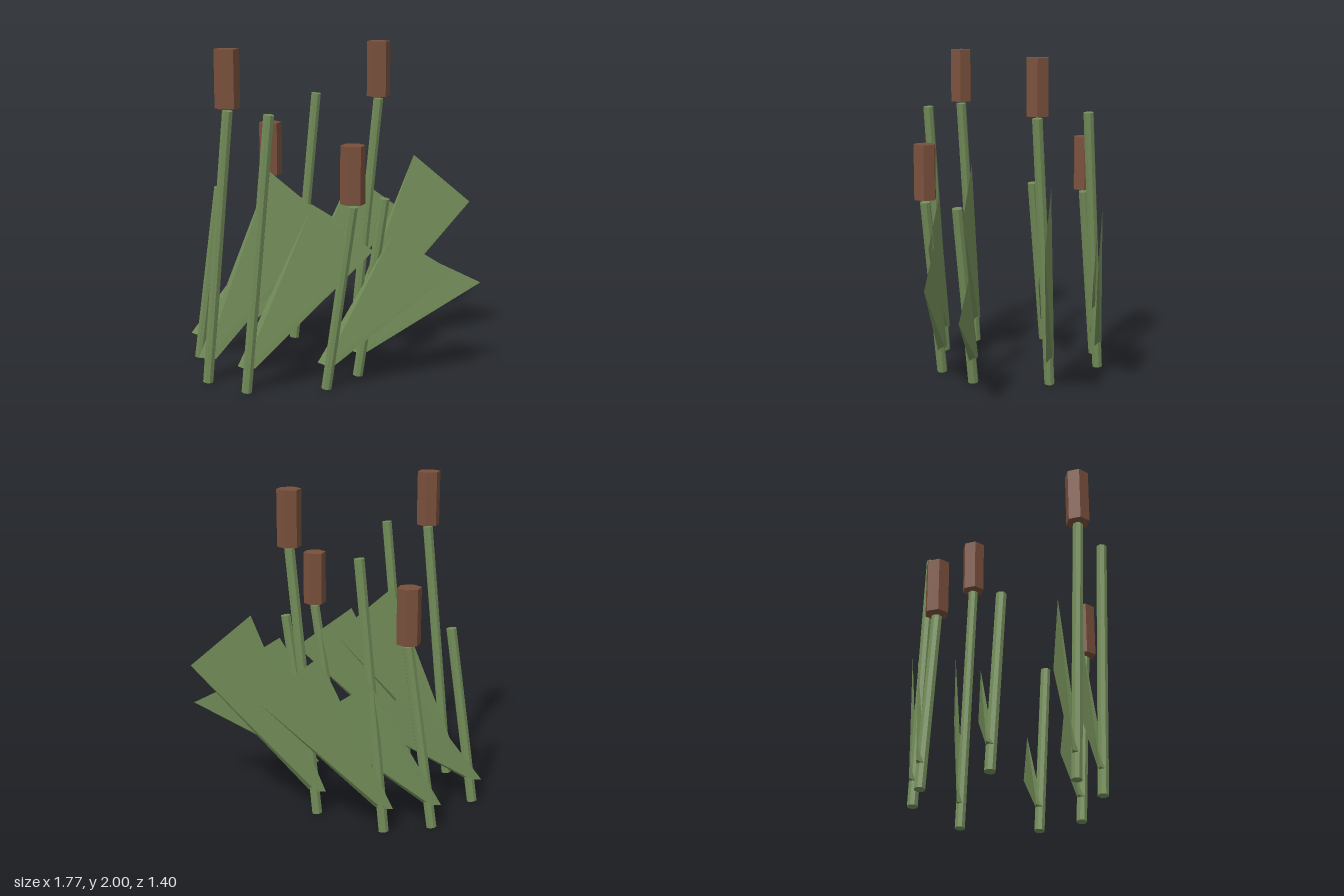
import * as THREE from 'three';

const green = new THREE.MeshStandardMaterial({ color: 0x728c58, flatShading: true });
green.name = 'reedGreen';
const brown = new THREE.MeshStandardMaterial({ color: 0x7a503c, flatShading: true });
brown.name = 'seedHeadBrown';

// Stalk leaning to +x, from its foot up to the given height
function makeStem(height) {
  const foot = new THREE.Vector3(0, 0.006, 0);
  const tip = new THREE.Vector3(0.165, height, 0);
  const dir = tip.clone().sub(foot);
  const mesh = new THREE.Mesh(new THREE.CylinderGeometry(0.032, 0.032, dir.length(), 8), green);
  mesh.name = 'stem';
  mesh.position.copy(foot).add(tip).multiplyScalar(0.5);
  mesh.quaternion.setFromUnitVectors(new THREE.Vector3(0, 1, 0), dir.normalize());
  return mesh;
}

// Hexagonal seed head standing upright on the stem
function makeHead(bottom) {
  const mesh = new THREE.Mesh(new THREE.CylinderGeometry(0.072, 0.072, 0.335, 6), brown);
  mesh.name = 'seedHead';
  mesh.position.set(0.165, bottom + 0.1675, 0);
  return mesh;
}

// Blade: a slim diamond at the foot that widens to a sharp slanting top edge
function makeLeaf(shoulderY, tipY) {
  const y = 0.155;
  const left = [-0.057, y, 0], front = [0, y, 0.022], right = [0.055, y, -0.006], back = [0, y, -0.022];
  const shoulder = [0.335, shoulderY, -0.187], tip = [0.662, tipY, -0.328];
  const faces = [
    left, front, shoulder, front, tip, shoulder, front, right, tip,
    right, back, tip, back, shoulder, tip, back, left, shoulder,
    left, back, front, front, back, right,
  ];
  const geo = new THREE.BufferGeometry();
  geo.setAttribute('position', new THREE.Float32BufferAttribute(faces.flat(), 3));
  geo.computeVertexNormals();
  const mesh = new THREE.Mesh(geo, green);
  mesh.name = 'leaf';
  return mesh;
}

export function createModel() {
  const model = new THREE.Group();
  model.name = 'reedClump';

  // foot x, foot z, tall, has seed head
  const reeds = [
    [-0.455, -0.375, true, false],
    [-0.705, -0.22, false, true],
    [0.008, -0.28, true, true],
    [-0.835, 0.23, false, false],
    [0.218, 0.14, false, false],
    [0.135, 0.425, false, true],
    [-0.56, 0.61, true, true],
    [-0.268, 0.67, true, false],
  ];

  for (const [x, z, tall, headed] of reeds) {
    const reed = new THREE.Group();
    reed.name = headed ? 'floweringReed' : 'plainReed';
    reed.position.set(x, 0, z);
    reed.add(makeStem(tall ? 1.65 : 1.117));
    if (headed) reed.add(makeHead(tall ? 1.665 : 1.135));
    if (tall) reed.add(headed ? makeLeaf(1.28, 0.98) : makeLeaf(1.105, 0.85));
    else reed.add(headed ? makeLeaf(0.93, 0.71) : makeLeaf(0.75, 0.58));
    model.add(reed);
  }
  return model;
}
